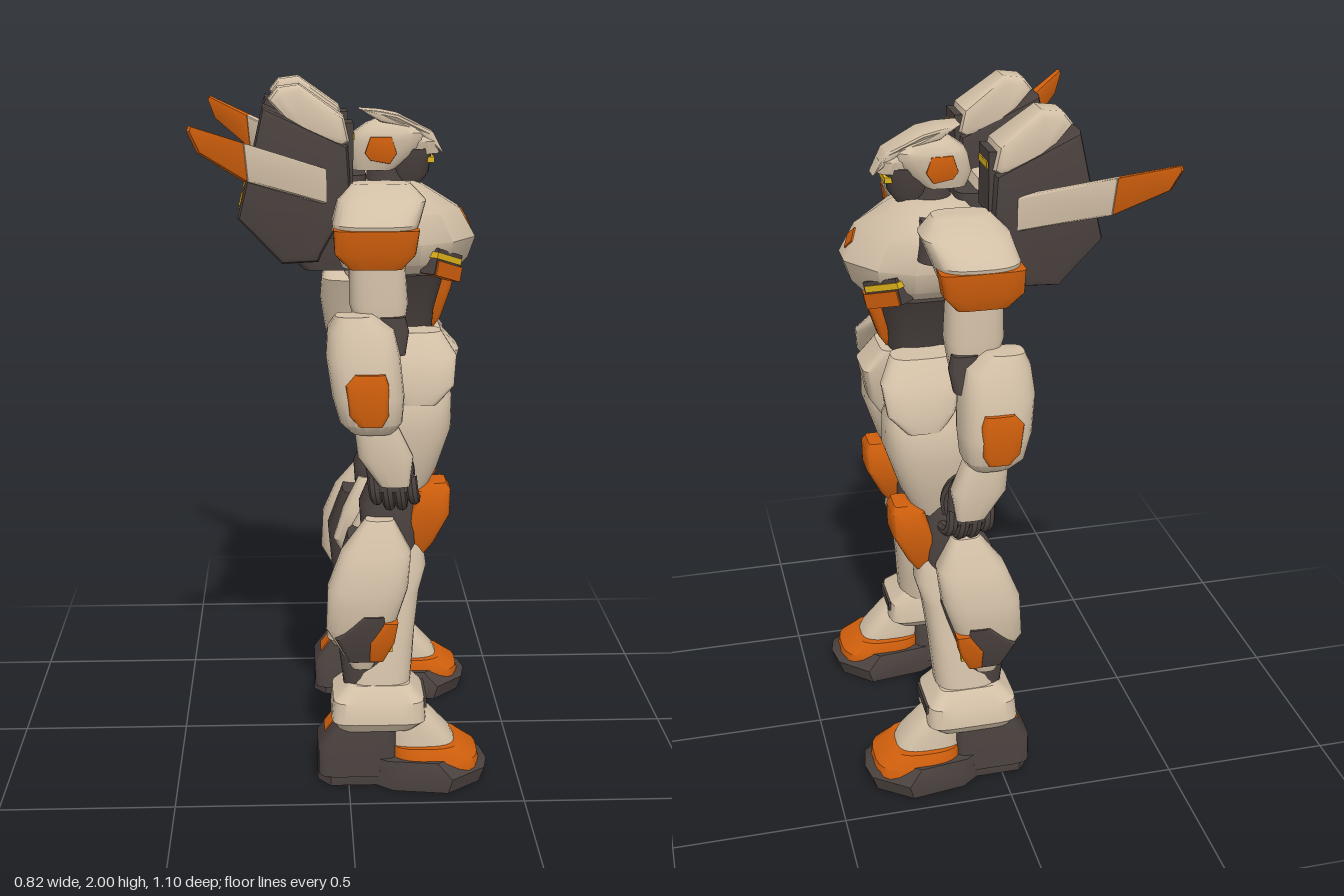
import * as THREE from 'three';
import { toCreasedNormals } from 'three/addons/utils/BufferGeometryUtils.js';

const paint = (name, color) => {
  const m = new THREE.MeshStandardMaterial({ color });
  m.name = name;
  return m;
};

// Rounded-box outline in plan (x, z), running counter-clockwise from above
const rounded = (p, n = 24) => Array.from({ length: n }, (_, i) => {
  const a = ((i + 0.5) / n) * Math.PI * 2, c = Math.cos(a), s = -Math.sin(a);
  const f = (v) => Math.sign(v) * Math.abs(v) ** (2 / p);
  return [f(c), f(s)];
});
const SOFT = rounded(3), BLOCK = rounded(6);
const WEDGE = [[1, 0.22], [1, -0.22], [0.6, -0.74], [0.1, -1], [-0.5, -1], [-1, -0.7], [-1, 0.7], [-0.5, 1], [0.1, 1], [0.6, 0.74]];
const FOOT = [[1, 0.1], [0.95, -0.4], [0.6, -0.95], [-0.1, -0.8], [-0.3, -0.6], [-0.85, -0.6], [-1, -0.3],
  [-1, 0.3], [-0.85, 0.6], [-0.3, 0.6], [-0.1, 0.85], [0.55, 1], [0.95, 0.5]];

// Solid through level sections [y, x0, x1, z0, z1], lowest first
function loft(sections, plan = SOFT) {
  const n = plan.length, pos = [], idx = [];
  for (const [y, x0, x1, z0, z1] of sections)
    for (const [u, v] of plan)
      pos.push((x0 + x1) / 2 + (u * (x1 - x0)) / 2, y, (z0 + z1) / 2 + (v * (z1 - z0)) / 2);
  const last = (sections.length - 1) * n;
  for (const k of [0, sections.length - 1]) {
    const [y, x0, x1, z0, z1] = sections[k];
    pos.push((x0 + x1) / 2, y, (z0 + z1) / 2);
  }
  const bottom = last + n, top = bottom + 1;
  for (let i = 0; i < n; i++) {
    const j = (i + 1) % n;
    for (let k = 0; k < last; k += n) idx.push(k + i, k + j, k + n + j, k + i, k + n + j, k + n + i);
    idx.push(bottom, j, i, top, last + i, last + j);
  }
  const g = new THREE.BufferGeometry();
  g.setAttribute('position', new THREE.Float32BufferAttribute(pos, 3));
  g.setIndex(idx);
  return g;
}
const mid = (rows, plan) => loft(rows.map(([y, x0, x1, w]) => [y, x0, x1, -w, w]), plan);

// Side outline in (x, y) given thickness from z0 to z1
function slab(points, z0, z1, bevel = 0.012) {
  const shape = new THREE.Shape(points.map(([x, y]) => new THREE.Vector2(x, y)));
  return new THREE.ExtrudeGeometry(shape, {
    depth: z1 - z0 - 2 * bevel, bevelEnabled: bevel > 0, bevelSize: bevel, bevelOffset: -bevel,
    bevelThickness: bevel, bevelSegments: 2,
  }).translate(0, 0, z0 + bevel);
}
const box = (w, h, d, x, y, z) => new THREE.BoxGeometry(w, h, d).translate(x, y, z);

// Scale the thickness (z) by a rule of x and y
function taper(geo, rule) {
  const p = geo.attributes.position;
  for (let i = 0; i < p.count; i++) p.setZ(i, p.getZ(i) * rule(p.getX(i), p.getY(i)));
  return geo;
}

function mirrorZ(geo) {
  const g = geo.clone().scale(1, 1, -1);
  for (const key of ['position', 'normal']) {
    const a = g.attributes[key].array;
    for (let i = 0; i < a.length; i += 9)
      for (let k = 3; k < 6; k++) [a[i + k], a[i + k + 3]] = [a[i + k + 3], a[i + k]];
  }
  return g;
}

export function createModel() {
  const model = new THREE.Group();
  model.name = 'robot';
  const cream = paint('cream armour', 0xd2bfa6), dark = paint('dark frame', 0x4a413e);
  const orange = paint('orange trim', 0xce5e0c), yellow = paint('yellow light', 0xdfb41a);

  const one = (name, mat, geo) => {
    const mesh = new THREE.Mesh(toCreasedNormals(geo, 0.65), mat);
    mesh.name = name;
    model.add(mesh);
    return mesh;
  };
  const pair = (name, mat, geo) => {
    const right = one(name + 'Right', mat, geo);
    const left = new THREE.Mesh(mirrorZ(right.geometry), mat);
    left.name = name + 'Left';
    model.add(left);
  };

  // Torso
  one('abdomen', dark, mid([[1.22, 0.09, 0.25, 0.1], [1.35, 0.07, 0.26, 0.12], [1.47, 0.03, 0.29, 0.18]]));
  one('bellyPlate', orange, mid([[1.29, 0.2, 0.26, 0.032], [1.32, 0.2, 0.28, 0.045], [1.41, 0.2, 0.31, 0.053], [1.44, 0.2, 0.315, 0.055]], BLOCK));
  one('chest', cream, mid([[1.44, 0.05, 0.3, 0.12], [1.5, 0.02, 0.355, 0.19], [1.56, 0, 0.375, 0.21], [1.64, 0, 0.33, 0.2],
    [1.69, 0.01, 0.25, 0.18], [1.72, 0.04, 0.2, 0.13]], WEDGE));
  one('chestDiamond', orange, new THREE.CylinderGeometry(0.032, 0.032, 0.009, 4).rotateZ(-1.06).translate(0.347, 1.61, 0));
  const vent = (h, d, off, dy) => new THREE.BoxGeometry(d, h, 0.12).rotateX(-0.3).rotateY(-0.72)
    .translate(0.27 + off, 1.495 + dy, 0.135 + off);
  pair('ventFrame', dark, vent(0.075, 0.05, 0, 0));
  pair('ventLower', orange, vent(0.042, 0.05, 0.003, -0.018));
  pair('ventLight', yellow, vent(0.018, 0.05, 0.003, 0.018));
  pair('collar', dark, loft([[1.6, 0.02, 0.2, 0.1, 0.26], [1.7, 0.04, 0.18, 0.09, 0.24]]));

  // Head
  one('neck', dark, new THREE.CylinderGeometry(0.05, 0.065, 0.13, 16).translate(0.12, 1.73, 0));
  one('helmet', cream, mid([[1.75, 0.02, 0.15, 0.06], [1.79, 0.005, 0.2, 0.07], [1.835, 0.015, 0.23, 0.077], [1.855, 0.025, 0.23, 0.075],
    [1.88, 0.06, 0.2, 0.056], [1.892, 0.09, 0.16, 0.03]]));
  one('face', dark, mid([[1.7, 0.15, 0.21, 0.032], [1.74, 0.12, 0.24, 0.05], [1.81, 0.1, 0.25, 0.058]]));
  one('visor', yellow, box(0.02, 0.016, 0.08, 0.244, 1.778, 0));
  one('brow', cream, mid([[1.795, 0.15, 0.27, 0.046], [1.83, 0.12, 0.265, 0.058], [1.865, 0.09, 0.21, 0.05]]));
  one('crest', cream, taper(slab([[0.04, 1.92], [0.1, 1.915], [0.15, 1.905], [0.25, 1.855], [0.285, 1.79], [0.22, 1.845],
    [0.15, 1.875], [0.1, 1.885]], -0.06, 0.06, 0.008), (x) => 1 - 0.45 * ((x - 0.15) / 0.13) ** 2));
  pair('earPlate', orange, slab([[0.055, 1.8], [0.07, 1.845], [0.13, 1.845], [0.145, 1.8], [0.125, 1.77], [0.07, 1.78]], 0.05, 0.0775, 0.002));

  // Backpack and boosters
  one('backpack', dark, mid([[1.47, -0.12, 0.06, 0.09], [1.56, -0.22, 0.06, 0.1], [1.74, -0.22, 0.06, 0.09]], BLOCK));
  one('backpackCover', cream, mid([[1.7, -0.2, 0.02, 0.085], [1.765, -0.18, -0.01, 0.075]], BLOCK));
  one('boosterBridge', dark, box(0.13, 0.12, 0.3, -0.08, 1.63, 0));
  pair('booster', dark, slab([[-0.23, 1.945], [0, 1.84], [0.01, 1.69], [-0.07, 1.55], [-0.08, 1.525], [-0.18, 1.52], [-0.3, 1.645], [-0.275, 1.75]], 0.12, 0.28, 0.02));
  pair('boosterCap', cream, taper(slab([[-0.215, 1.96], [-0.19, 1.992], [-0.13, 2], [-0.01, 1.915], [0.005, 1.85], [-0.03, 1.83], [-0.13, 1.87]], -0.073, 0.073, 0.02),
    (x, y) => 1 - 3 * Math.max(0, y - 1.91)).translate(0, 0, 0.198));
  pair('boosterIntake', dark, box(0.03, 0.17, 0.11, 0, 1.815, 0.197));
  pair('boosterLight', yellow, box(0.035, 0.018, 0.09, 0.001, 1.862, 0.197));
  const exhaust = (h, d, off) => new THREE.BoxGeometry(0.012, h, d).rotateZ(-0.234).translate(-0.285 - off, 1.69, 0.2);
  pair('boosterExhaust', orange, exhaust(0.07, 0.06, 0));
  pair('exhaustLight', yellow, exhaust(0.035, 0.03, 0.003));

  // Wings
  const wing = (pts) => taper(slab(pts, -0.012, 0.012, 0.005), (x) => 1.8 - 2.8 * x).rotateY(-2.45).translate(-0.08, 0, 0.27);
  pair('wing', cream, wing([[-0.03, 1.68], [-0.03, 1.775], [0.262, 1.867], [0.25, 1.765]]));
  pair('wingTip', orange, wing([[0.25, 1.765], [0.262, 1.867], [0.425, 1.918], [0.43, 1.905], [0.4, 1.85]]));

  // Shoulders and arms
  pair('shoulder', cream, loft([[1.53, -0.02, 0.14, 0.28, 0.415], [1.58, -0.04, 0.165, 0.23, 0.43], [1.645, -0.045, 0.19, 0.2, 0.44],
    [1.7, -0.03, 0.21, 0.18, 0.385], [1.74, 0.01, 0.17, 0.2, 0.3]]));
  pair('shoulderBand', orange, loft([[1.53, 0, 0.14, 0.36, 0.425], [1.57, -0.04, 0.175, 0.355, 0.44], [1.635, -0.044, 0.185, 0.355, 0.441]], BLOCK));
  pair('upperArm', cream, loft([[1.3, 0.04, 0.135, 0.31, 0.4], [1.36, 0.02, 0.15, 0.29, 0.41], [1.43, 0, 0.16, 0.28, 0.41], [1.56, 0, 0.15, 0.27, 0.4]]));
  pair('elbow', dark, loft([[1.3, 0.08, 0.15, 0.38, 0.44], [1.36, 0.08, 0.16, 0.37, 0.425], [1.4, 0.08, 0.15, 0.37, 0.42]]));
  pair('forearm', cream, loft([[1.1, 0, 0.12, 0.385, 0.51], [1.13, -0.03, 0.14, 0.37, 0.535], [1.2, -0.05, 0.145, 0.35, 0.54],
    [1.3, -0.065, 0.135, 0.315, 0.515], [1.37, -0.06, 0.12, 0.285, 0.485], [1.41, -0.04, 0.06, 0.38, 0.46]]));
  pair('forearmPatch', orange, loft([[1.13, 0.02, 0.085, 0.46, 0.54], [1.16, -0.005, 0.1, 0.46, 0.545], [1.24, -0.015, 0.1, 0.46, 0.543], [1.27, 0.01, 0.09, 0.46, 0.535]], BLOCK));
  pair('handGuard', cream, loft([[0.95, 0.08, 0.16, 0.46, 0.5], [1.03, 0.02, 0.17, 0.42, 0.512], [1.11, 0.01, 0.13, 0.4, 0.5]]));
  pair('wristPatch', orange, box(0.07, 0.05, 0.03, 0.06, 1.055, 0.403));
  pair('palm', dark, loft([[0.93, 0.05, 0.18, 0.425, 0.48], [1.02, 0.04, 0.17, 0.4, 0.48], [1.1, 0.04, 0.12, 0.4, 0.48]]));
  const digit = (pts, r) => {
    const curve = new THREE.CatmullRomCurve3(pts.map((p) => new THREE.Vector3(...p)));
    return new THREE.TubeGeometry(curve, 8, r, 8);
  };
  for (let i = 0; i < 4; i++) {
    const x = 0.062 + i * 0.034, lift = i === 0 || i === 3 ? 0.015 : 0;
    const tip = [x + 0.016, 0.877 + lift, 0.405];
    pair('finger' + (i + 1), dark, digit([[x, 0.97, 0.46], [x + 0.006, 0.92, 0.468], [x + 0.012, 0.885 + lift, 0.445], tip], 0.017));
    pair('fingertip' + (i + 1), dark, new THREE.SphereGeometry(0.017, 8, 6).translate(...tip));
  }
  pair('thumb', dark, digit([[0.12, 1.05, 0.42], [0.15, 1.01, 0.39], [0.165, 0.96, 0.378], [0.16, 0.92, 0.385]], 0.018));

  // Hips
  one('pelvis', dark, mid([[1.04, 0.1, 0.22, 0.06], [1.13, 0.06, 0.28, 0.13], [1.2, 0.05, 0.285, 0.16], [1.28, 0.06, 0.25, 0.14]]));
  one('frontSkirt', cream, mid([[1.03, 0.18, 0.25, 0.033], [1.13, 0.18, 0.315, 0.055], [1.23, 0.15, 0.335, 0.08], [1.29, 0.13, 0.28, 0.075]], BLOCK));
  one('rearSkirt', cream, mid([[1.08, 0, 0.06, 0.09], [1.2, -0.01, 0.1, 0.13], [1.31, 0.05, 0.14, 0.1]], BLOCK));
  pair('sideSkirt', cream, loft([[1.12, 0.15, 0.25, 0.245, 0.285], [1.17, 0.11, 0.3, 0.215, 0.285], [1.25, 0.08, 0.31, 0.165, 0.25], [1.31, 0.09, 0.27, 0.1, 0.2]]));

  // Thighs and knees
  pair('thigh', cream, loft([[0.84, 0.08, 0.22, 0.12, 0.25], [0.92, 0.05, 0.26, 0.08, 0.275], [1.04, 0.03, 0.3, 0.04, 0.295],
    [1.13, 0.035, 0.3, 0.065, 0.28], [1.22, 0.07, 0.27, 0.13, 0.22]]));
  pair('kneeJoint', dark, loft([[0.64, 0.06, 0.2, 0.14, 0.28], [0.74, 0.04, 0.21, 0.12, 0.285], [0.81, 0.035, 0.2, 0.12, 0.28], [0.87, 0.06, 0.18, 0.13, 0.265]]));
  pair('kneeGuard', orange, loft([[0.66, 0.14, 0.22, 0.185, 0.25], [0.7, 0.15, 0.25, 0.165, 0.262], [0.79, 0.18, 0.295, 0.14, 0.278],
    [0.86, 0.2, 0.297, 0.155, 0.267], [0.88, 0.24, 0.285, 0.165, 0.25]], BLOCK));

  // Shins and calves
  pair('shin', cream, loft([[0.26, 0, 0.18, 0.2, 0.365], [0.37, 0, 0.19, 0.18, 0.345], [0.44, 0.05, 0.195, 0.17, 0.33],
    [0.56, 0.05, 0.21, 0.16, 0.305], [0.63, 0.05, 0.23, 0.16, 0.29], [0.7, 0.05, 0.22, 0.16, 0.27]]));
  pair('calf', dark, loft([[0.26, -0.01, 0.12, 0.22, 0.345], [0.42, -0.03, 0.13, 0.19, 0.35], [0.58, -0.045, 0.17, 0.15, 0.36], [0.72, 0, 0.17, 0.13, 0.31]]));
  pair('outerCalfGuard', cream, loft([[0.35, 0.01, 0.07, 0.3, 0.355], [0.48, -0.065, 0.13, 0.29, 0.395], [0.6, -0.06, 0.17, 0.26, 0.4],
    [0.7, -0.02, 0.18, 0.25, 0.37], [0.79, 0.05, 0.13, 0.26, 0.32]]));
  pair('innerCalfGuard', cream, loft([[0.48, 0.02, 0.12, 0.14, 0.19], [0.58, -0.03, 0.17, 0.09, 0.18], [0.68, 0, 0.17, 0.085, 0.18], [0.78, 0.05, 0.13, 0.12, 0.17]]));
  pair('calfRecess', dark, loft([[0.38, 0, 0.08, 0.33, 0.372], [0.46, -0.04, 0.11, 0.33, 0.397], [0.53, 0.04, 0.1, 0.33, 0.403]], BLOCK));
  pair('calfVent', orange, loft([[0.385, 0.06, 0.1, 0.335, 0.38], [0.45, 0.06, 0.13, 0.34, 0.403], [0.51, 0.1, 0.14, 0.355, 0.403]], BLOCK));
  pair('calfLight', yellow, box(0.012, 0.03, 0.02, 0.118, 0.432, 0.373));

  // Feet
  pair('ankleCuff', cream, loft([[0.17, -0.03, 0.19, 0.21, 0.39], [0.2, -0.05, 0.225, 0.185, 0.41], [0.26, -0.045, 0.22, 0.19, 0.4], [0.3, 0, 0.18, 0.21, 0.36]], BLOCK));
  pair('ankleNotch', dark, box(0.03, 0.03, 0.13, 0.212, 0.245, 0.295));
  pair('heel', dark, loft([[0.03, -0.09, 0.15, 0.2, 0.4], [0.11, -0.09, 0.14, 0.21, 0.395], [0.19, -0.03, 0.14, 0.235, 0.385]], BLOCK));
  pair('heelPatch', orange, box(0.012, 0.05, 0.07, 0, 0, 0).rotateZ(-0.64).translate(-0.05, 0.158, 0.287));
  pair('sole', dark, loft([[0, -0.09, 0.395, 0.16, 0.45], [0.045, -0.09, 0.41, 0.155, 0.455], [0.085, -0.085, 0.355, 0.18, 0.43]], FOOT));
  pair('toeBand', orange, loft([[0.05, 0.12, 0.387, 0.2, 0.425], [0.08, 0.12, 0.38, 0.2, 0.42], [0.115, 0.12, 0.33, 0.215, 0.4]]));
  pair('instep', cream, loft([[0.09, 0.11, 0.325, 0.235, 0.385], [0.14, 0.11, 0.3, 0.235, 0.38], [0.2, 0.1, 0.245, 0.25, 0.37], [0.25, 0.08, 0.19, 0.26, 0.36]]));

  return model;
}
